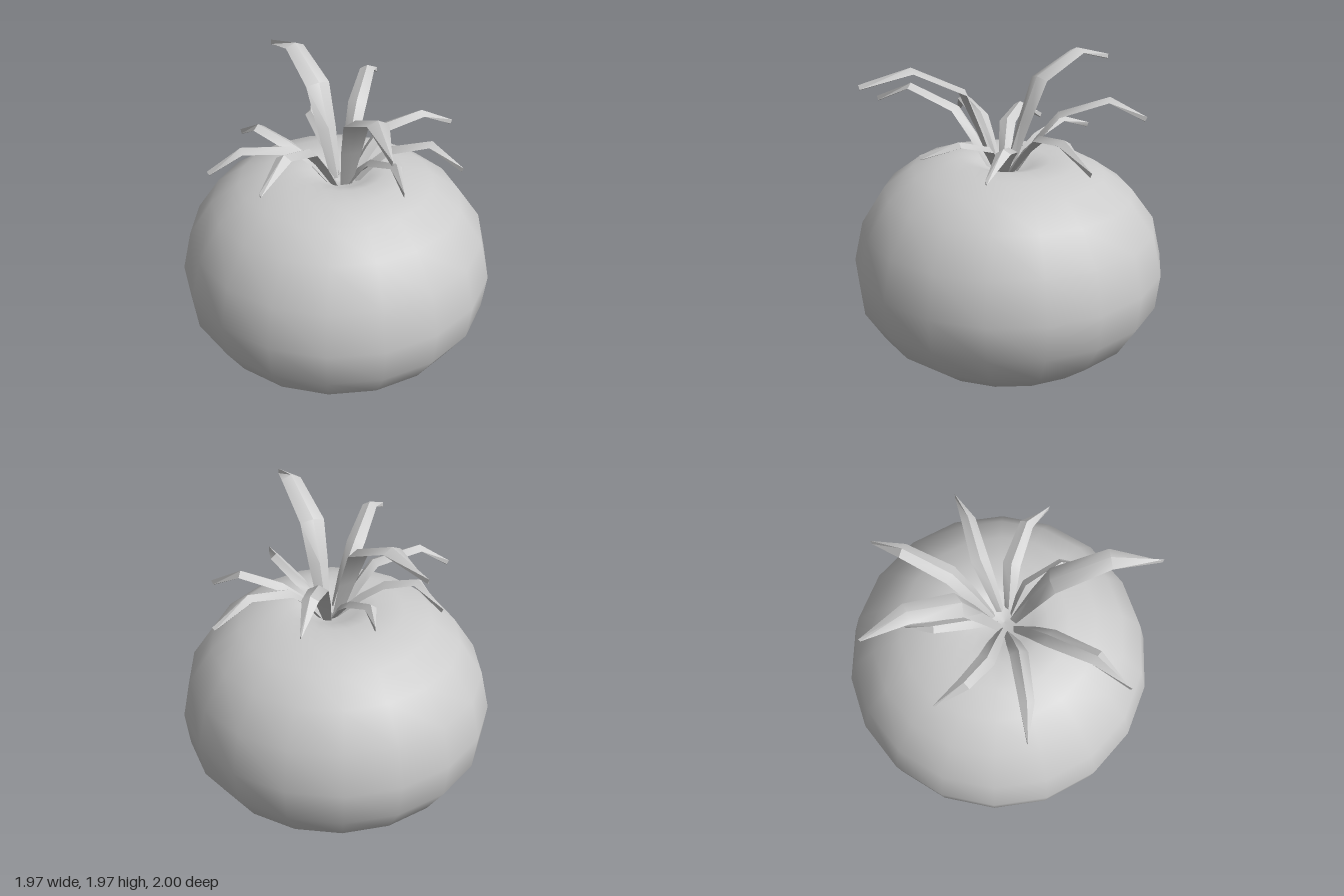
import * as THREE from 'three';
import { toCreasedNormals } from 'three/addons/utils/BufferGeometryUtils.js';

const material = new THREE.MeshStandardMaterial({ color: 0xcccccc });

// Squat round fruit with a dimple at the stem, leaning very slightly
function makeFruit() {
  const profile = [
    [0, 0.04], [0.12, 0.02], [0.3, 0.01], [0.65, 0.07], [0.85, 0.23], [0.975, 0.43],
    [1, 0.66], [0.94, 0.92], [0.79, 1.14], [0.61, 1.27], [0.43, 1.33],
    [0.28, 1.345], [0.18, 1.32], [0.09, 1.28], [0, 1.265],
  ].map(([r, y]) => new THREE.Vector2(r, y));
  const geometry = new THREE.LatheGeometry(profile, 18);
  const p = geometry.attributes.position;
  for (let i = 0; i < p.count; i++) {
    const x = p.getX(i), y = p.getY(i), z = p.getZ(i);
    const top = THREE.MathUtils.smoothstep(y, 0.9, 1.35);
    p.setY(i, y + top * (0.02 * x + 0.035 * z));
    const inner = top * (1 - THREE.MathUtils.smoothstep(Math.hypot(x, z), 0.1, 0.5));
    p.setX(i, x + 0.05 * inner);
  }
  const mesh = new THREE.Mesh(geometry, material);
  mesh.name = 'fruit';
  return mesh;
}

// Arched leaf: a ridged four-sided section swept through its bends to a thin tip
function makeLeaf(points, halfWidth) {
  const pts = points.map((p) => new THREE.Vector3(...p));
  // Extra station that bows the stalk a little
  pts.splice(1, 0, pts[0].clone().lerp(pts[1], 0.5).add(new THREE.Vector3(0, 0.02, 0)));
  const widths = [0.45, 0.8, 1, 0.8, 0.06];
  const position = [], index = [];
  pts.forEach((p, i) => {
    const tangent = pts[Math.min(i + 1, 4)].clone().sub(pts[Math.max(i - 1, 0)]).normalize();
    const side = new THREE.Vector3(tangent.z, 0, -tangent.x).normalize();
    const up = tangent.clone().cross(side);
    const w = halfWidth * widths[i];
    [[w, -0.008], [0, 0.02], [-w, -0.008], [0, -0.012]].forEach(([s, u]) => {
      position.push(...p.clone().addScaledVector(side, s).addScaledVector(up, u).toArray());
    });
    if (i === 0) return;
    for (let k = 0; k < 4; k++) {
      const a = (i - 1) * 4 + k, b = (i - 1) * 4 + ((k + 1) % 4);
      index.push(a, b, a + 4, b, b + 4, a + 4);
    }
  });
  index.push(0, 2, 1, 0, 3, 2, 16, 17, 18, 16, 18, 19);
  const geometry = new THREE.BufferGeometry();
  geometry.setAttribute('position', new THREE.Float32BufferAttribute(position, 3));
  geometry.setIndex(index);
  const mat = material.clone();
  mat.side = THREE.DoubleSide;
  return new THREE.Mesh(toCreasedNormals(geometry, 0.8), mat);
}

export function createModel() {
  const model = new THREE.Group();
  model.add(makeFruit());

  // Each leaf: half width, then base, knee, peak and tip
  const leaves = [
    [0.08, [0.1, 1.27, 0.02], [0.28, 1.8, 0.13], [0.57, 1.96, 0.28], [0.82, 1.88, 0.45]],
    [0.08, [0.0, 1.27, 0.0], [-0.22, 1.82, -0.07], [-0.51, 1.96, -0.16], [-0.79, 1.88, -0.22]],
    [0.06, [0.07, 1.28, 0.08], [0.1, 1.63, 0.34], [0.2, 1.75, 0.63], [0.26, 1.64, 0.87]],
    [0.06, [0.01, 1.28, -0.07], [-0.11, 1.65, -0.31], [-0.26, 1.75, -0.57], [-0.35, 1.64, -0.77]],
    [0.055, [0.07, 1.28, -0.07], [0.11, 1.55, -0.32], [0.21, 1.59, -0.56], [0.28, 1.46, -0.79]],
    [0.055, [0.01, 1.28, 0.08], [-0.08, 1.56, 0.29], [-0.24, 1.6, 0.56], [-0.36, 1.46, 0.72]],
    [0.055, [0.12, 1.28, -0.05], [0.26, 1.49, -0.2], [0.48, 1.56, -0.33], [0.69, 1.44, -0.37]],
    [0.055, [0.0, 1.28, 0.04], [-0.24, 1.5, 0.19], [-0.44, 1.56, 0.24], [-0.64, 1.44, 0.21]],
    [0.045, [0.11, 1.28, 0.0], [0.25, 1.46, -0.04], [0.48, 1.54, 0.0], [0.66, 1.48, 0.14]],
    [0.045, [0.0, 1.28, -0.02], [-0.18, 1.46, -0.08], [-0.37, 1.54, -0.15], [-0.49, 1.49, -0.27]],
  ];
  const crown = new THREE.Group();
  crown.name = 'leafCrown';
  leaves.forEach(([halfWidth, ...points], i) => {
    const leaf = makeLeaf(points, halfWidth);
    leaf.name = `leaf${i + 1}`;
    crown.add(leaf);
  });
  model.add(crown);
  return model;
}
